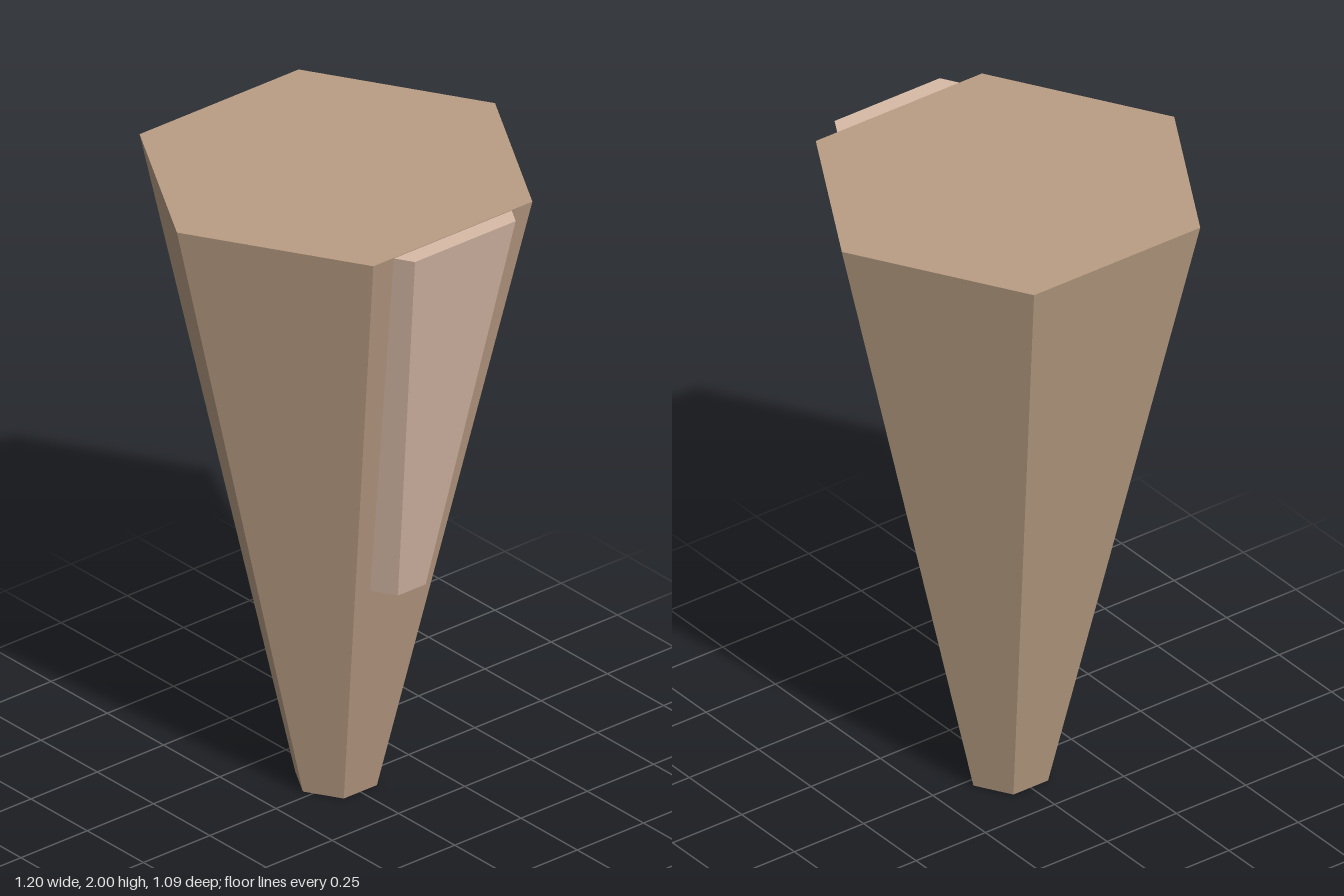
import * as THREE from 'three';

// Tapered hexagonal shaft with corners on the x axis and a flat side facing front
function hexTaper(name, material, topRadius, bottomRadius, y0, y1, z) {
  const geometry = new THREE.CylinderGeometry(topRadius, bottomRadius, y1 - y0, 6, 1, false, Math.PI / 6);
  const mesh = new THREE.Mesh(geometry, material);
  mesh.name = name;
  mesh.position.set(0, (y0 + y1) / 2, z);
  return mesh;
}

export function createModel() {
  const stone = new THREE.MeshStandardMaterial({ color: 0xba9e85 });
  stone.name = 'tan stone';
  stone.flatShading = true;
  const paleStone = new THREE.MeshStandardMaterial({ color: 0xd8bba8 });
  paleStone.name = 'pale stone';
  paleStone.flatShading = true;

  const group = new THREE.Group();
  group.name = 'hexagonalSpike';
  // Large spike, narrowing towards the ground
  group.add(hexTaper('mainSpike', stone, 0.6, 0.125, 0, 2, -0.028));
  // Smaller spike sunk into the front face, its top just below the main one
  group.add(hexTaper('frontSpike', paleStone, 0.38, 0.105, 0.757, 1.998, 0.218));
  return group;
}
